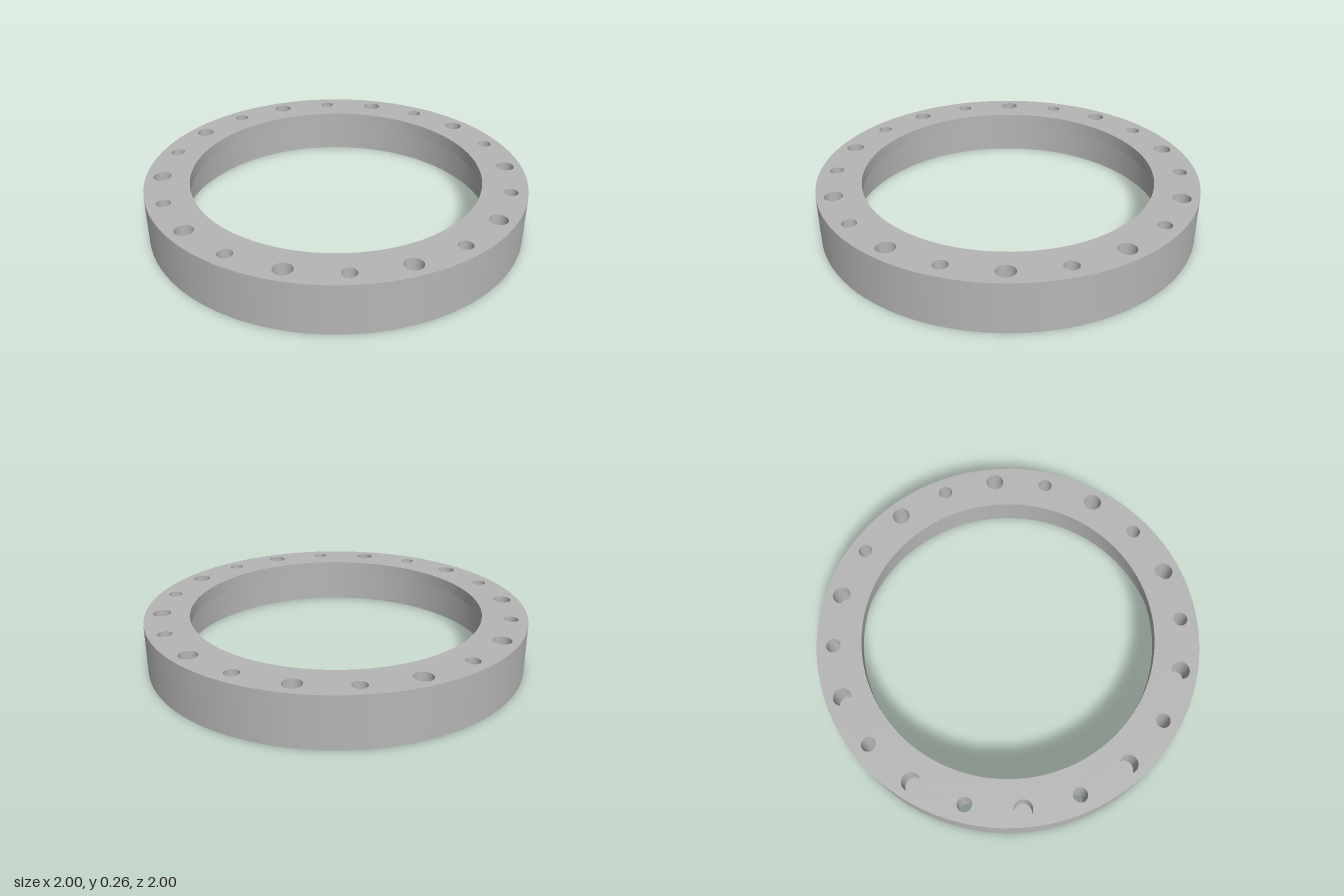
import * as THREE from 'three';

const HEIGHT = 0.263, LEDGE = 0.197;
const OUTER = 1, LIP = 0.767, BORE = 0.83;
const BOLT_CIRCLE = 0.913, THROUGH_R = 0.037, BLIND_R = 0.047, BLIND_FLOOR = 0.1;
const RING_SIDES = 96, HOLE_SIDES = 32;

// Points on a circle, for outlines and holes
function circlePoints(radius, sides, cx = 0, cy = 0) {
  return Array.from({ length: sides }, (_, i) => {
    const a = (i / sides) * Math.PI * 2;
    return new THREE.Vector2(cx + radius * Math.cos(a), cy + radius * Math.sin(a));
  });
}

// Ten evenly spaced positions on the bolt circle
function boltPositions(startAngle) {
  return Array.from({ length: 10 }, (_, i) => {
    const a = startAngle + (i * Math.PI) / 5;
    return new THREE.Vector2(BOLT_CIRCLE * Math.cos(a), BOLT_CIRCLE * Math.sin(a));
  });
}

export function createModel() {
  const group = new THREE.Group();
  group.name = 'flangeRing';
  const metal = new THREE.MeshStandardMaterial({ color: 0xb6b6b6 });
  metal.name = 'plain grey metal';

  const add = (name, geometry, parent = group) => {
    const mesh = new THREE.Mesh(geometry, metal);
    mesh.name = name;
    parent.add(mesh);
    return mesh;
  };

  // One straight profile segment swept around the axis
  const sweep = (r1, y1, r2, y2, sides = RING_SIDES) =>
    new THREE.LatheGeometry([new THREE.Vector2(r1, y1), new THREE.Vector2(r2, y2)], sides);

  // Flat annular face pierced by round holes
  const face = (inner, holes) => {
    const shape = new THREE.Shape(circlePoints(OUTER, RING_SIDES));
    shape.holes.push(new THREE.Path(circlePoints(inner, RING_SIDES)));
    for (const { centre, radius } of holes) {
      shape.holes.push(new THREE.Path(circlePoints(radius, HOLE_SIDES, centre.x, centre.y)));
    }
    return new THREE.ShapeGeometry(shape);
  };

  const through = boltPositions(Math.PI / 2).map((centre) => ({ centre, radius: THROUGH_R }));
  const blind = boltPositions(0).map((centre) => ({ centre, radius: BLIND_R }));

  // Ring body: walls, stepped bore and pierced faces
  add('outerWall', sweep(OUTER, 0, OUTER, HEIGHT));
  add('lipWall', sweep(LIP, HEIGHT, LIP, LEDGE));
  add('ledge', sweep(LIP, LEDGE, BORE, LEDGE));
  add('boreWall', sweep(BORE, LEDGE, BORE, 0));
  add('topFace', face(LIP, [...through, ...blind]).rotateX(-Math.PI / 2).translate(0, HEIGHT, 0));
  add('bottomFace', face(BORE, through).rotateX(Math.PI / 2));

  // Small holes running right through
  const throughWall = sweep(THROUGH_R, HEIGHT, THROUGH_R, 0, HOLE_SIDES);
  for (const { centre } of through) {
    add('throughHole', throughWall).position.set(centre.x, 0, centre.y);
  }

  // Larger holes sunk from the top, with flat floors
  const blindWall = sweep(BLIND_R, HEIGHT, BLIND_R, BLIND_FLOOR, HOLE_SIDES);
  const blindFloor = new THREE.CircleGeometry(BLIND_R, HOLE_SIDES)
    .rotateX(-Math.PI / 2).translate(0, BLIND_FLOOR, 0);
  for (const { centre } of blind) {
    const hole = new THREE.Group();
    hole.name = 'blindHole';
    hole.position.set(centre.x, 0, centre.y);
    add('blindHoleWall', blindWall, hole);
    add('blindHoleFloor', blindFloor, hole);
    group.add(hole);
  }
  return group;
}
